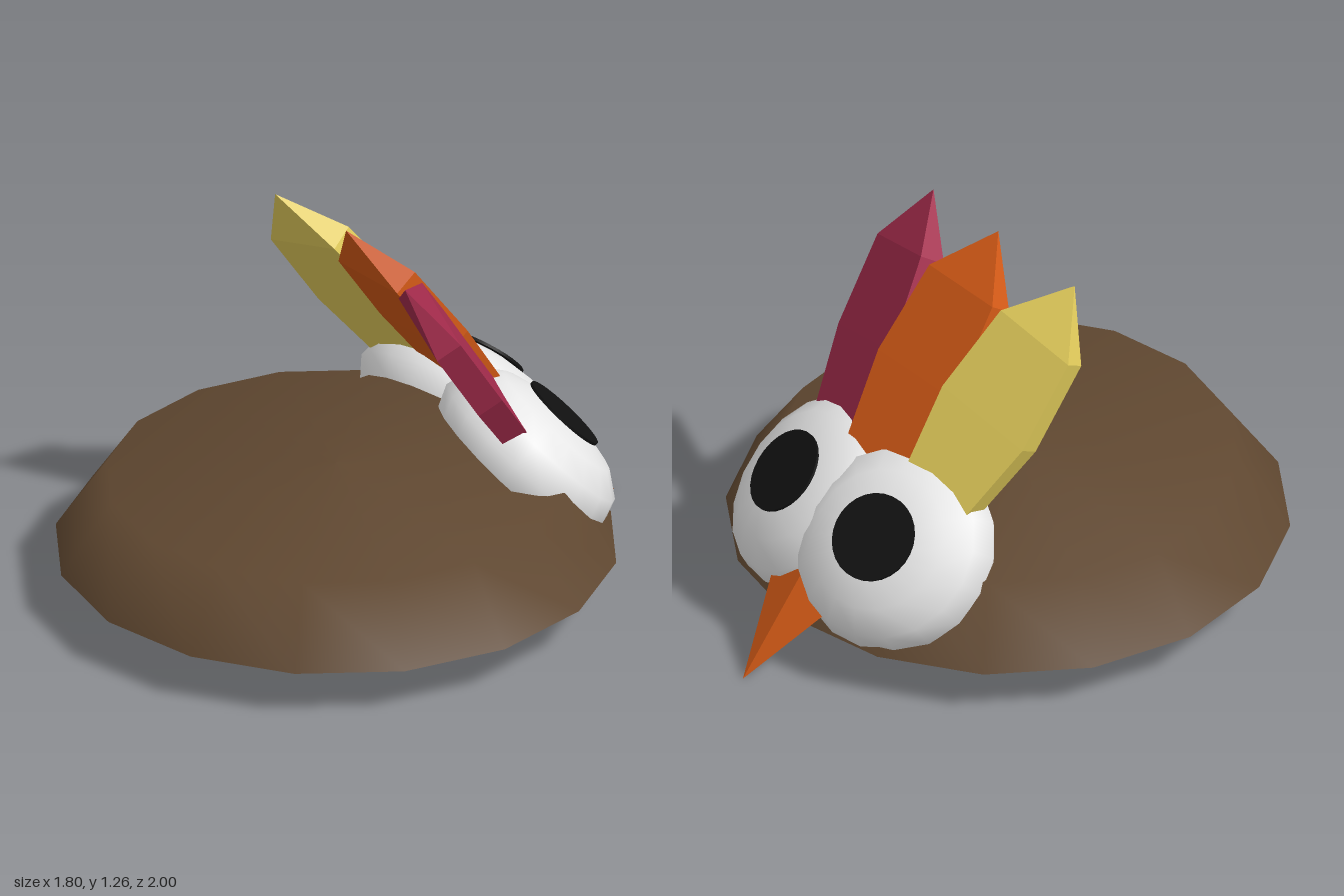
import * as THREE from 'three';

const mat = (name, color, extra = {}) => {
  const m = new THREE.MeshStandardMaterial({ color, ...extra });
  m.name = name;
  return m;
};

const V = (x, y, z) => new THREE.Vector3(x, y, z);
const UP = V(0, 1, 0);

// Pointed leaf-shaped feather: a box whose four rows are resized along its length
function featherGeometry(length) {
  const rows = [[0, 0.115, 0.04], [0.44, 0.178, 0.045], [0.78, 0.15, 0.045], [1, 0, 0]];
  const g = new THREE.BoxGeometry(2, 1, 2, 1, 3, 1);
  const p = g.attributes.position;
  for (let i = 0; i < p.count; i++) {
    const [t, w, d] = rows[Math.round((p.getY(i) + 0.5) * 3)];
    p.setXYZ(i, p.getX(i) * w, t * length, p.getZ(i) * d);
  }
  const flat = g.toNonIndexed();
  flat.computeVertexNormals();
  return flat;
}

export function createModel() {
  const model = new THREE.Group();
  const brown = mat('brown', 0x5f4730);
  const white = mat('eye white', 0xe7e7e7);
  const black = mat('black', 0x111111);
  const orange = mat('orange', 0xd25916, { flatShading: true });
  const yellow = mat('yellow', 0xe2cc5b, { flatShading: true });
  const red = mat('crimson', 0xa22b4b, { flatShading: true });

  const add = (parent, name, geometry, material) => {
    const mesh = new THREE.Mesh(geometry, material);
    mesh.name = name;
    parent.add(mesh);
    return mesh;
  };
  const profile = (pts) => pts.map(([r, y]) => new THREE.Vector2(r, y));

  // Low sixteen-sided body with a flat underside
  const body = new THREE.Group();
  body.name = 'body';
  body.position.set(0, 0.15, 0.1);
  model.add(body);
  add(body, 'bodyShell', new THREE.LatheGeometry(
    profile([[0.9, 0], [0.735, 0.24], [0, 0.29]]), 16), brown);
  add(body, 'bodyUnderside', new THREE.CircleGeometry(0.9, 16).rotateX(Math.PI / 2), brown);

  // Open eye domes with pupils, facing up and back
  const dome = new THREE.LatheGeometry(profile(
    [[0.31, 0], [0.34, 0.07], [0.31, 0.16], [0.23, 0.22], [0.12, 0.25], [0, 0.255]]), 18);
  const disc = new THREE.CylinderGeometry(0.143, 0.143, 0.009, 28);
  const eyes = [
    ['leftEye', V(0.19, 0.32, -0.445), V(0.24, 0.7, -0.67)],
    ['rightEye', V(-0.17, 0.335, -0.465), V(-0.2, 0.68, -0.7)],
  ];
  for (const [name, pos, normal] of eyes) {
    const eye = new THREE.Group();
    eye.name = name;
    eye.position.copy(pos);
    eye.quaternion.setFromUnitVectors(UP, normal.normalize());
    add(eye, 'eyeDome', dome, white);
    add(eye, 'pupil', disc, black).position.y = 0.255;
    model.add(eye);
  }

  // Three feathers: base point, tip point and roll about the length
  const feathers = [
    ['middleFeather', orange, V(0, 0.5, -0.49), V(0, 1.26, 0.06), 0.04],
    ['leftFeather', red, V(0.235, 0.47, -0.44), V(0.362, 1.21, 0.095), -0.33],
    ['rightFeather', yellow, V(-0.24, 0.49, -0.46), V(-0.365, 1.24, 0.07), 0.25],
  ];
  for (const [name, material, base, tip, roll] of feathers) {
    const axis = tip.clone().sub(base);
    const length = axis.length();
    axis.normalize();
    const front = V(1, 0, 0).cross(axis).normalize();
    const side = axis.clone().cross(front);
    const feather = add(model, name, featherGeometry(length), material);
    feather.quaternion.setFromRotationMatrix(new THREE.Matrix4().makeBasis(side, axis, front));
    feather.rotateY(roll);
    feather.position.copy(base);
  }

  // Flattened four-sided beak pointing down and back
  const beakBase = V(0, 0.27, -0.72), beakTip = V(0, 0, -1);
  const reach = beakTip.clone().sub(beakBase);
  const beak = add(model, 'beak',
    new THREE.ConeGeometry(1, reach.length(), 4).scale(0.165, 1, 0.048), orange);
  beak.quaternion.setFromUnitVectors(UP, reach.normalize());
  beak.position.copy(beakBase).lerp(beakTip, 0.5);

  return model;
}
